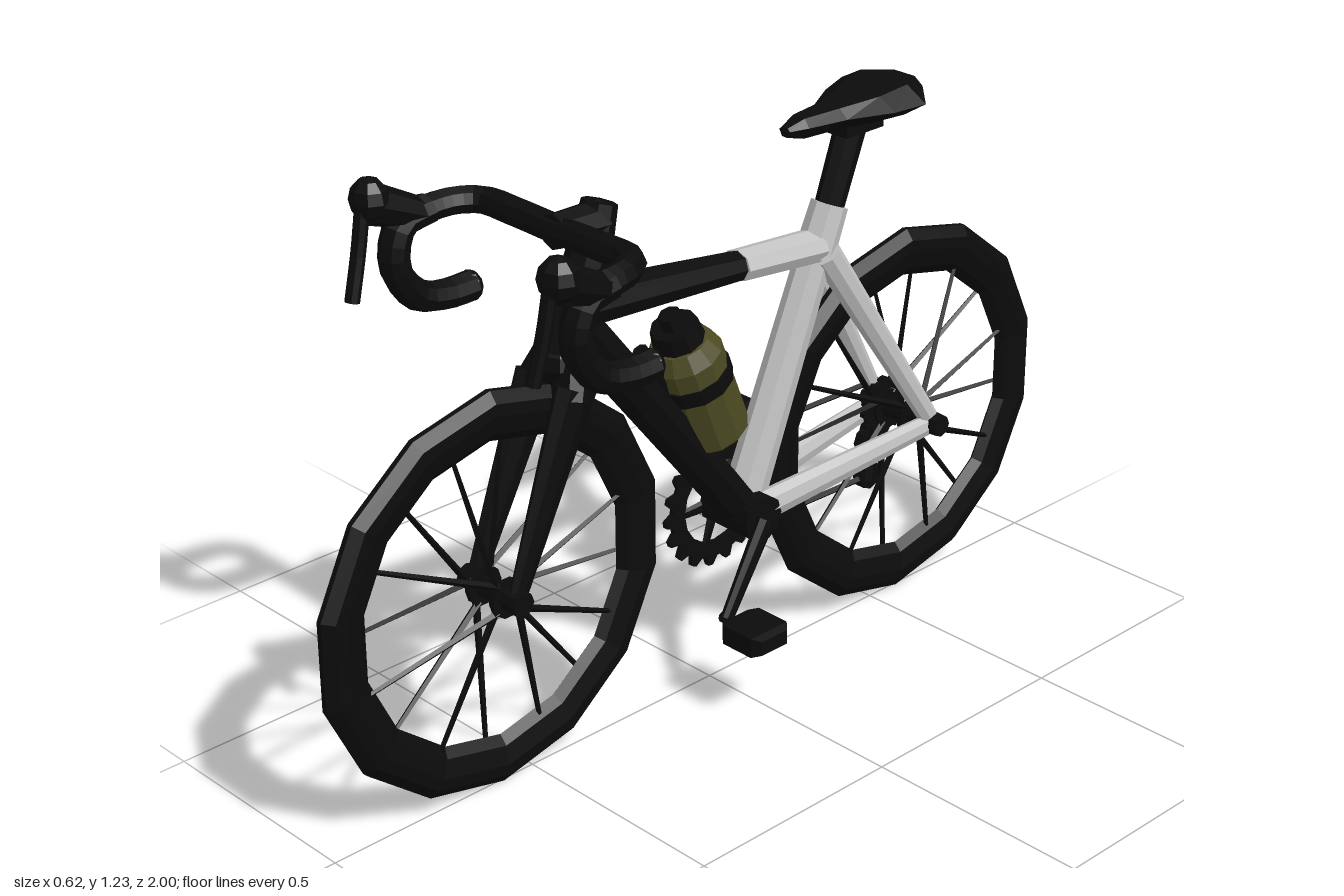
import * as THREE from 'three';

const mat = (name, color) => Object.assign(new THREE.MeshStandardMaterial({ color }), { name });
const V = (x, y, z) => new THREE.Vector3(x, y, z);

export function createModel() {
  const black = mat('black', 0x0b0b0b), silver = mat('silver', 0xc2c2c2), olive = mat('olive', 0x4b4a22);
  const bike = new THREE.Group();
  bike.name = 'roadBicycle';

  // Faceted mesh helper
  const add = (name, geo, material = black, parent = bike) => {
    const g = geo.index ? geo.toNonIndexed() : geo;
    g.computeVertexNormals();
    const m = new THREE.Mesh(g, material);
    m.name = name;
    parent.add(m);
    return m;
  };
  // Tapered bar from a to b; wide scales its x thickness
  const bar = (name, a, b, ra, rb = ra, material = black, wide = 1, sides = 8, parent = bike) => {
    const m = add(name, new THREE.CylinderGeometry(rb, ra, a.distanceTo(b), sides), material, parent);
    m.position.copy(a).lerp(b, 0.5);
    m.quaternion.setFromUnitVectors(V(0, 1, 0), b.clone().sub(a).normalize());
    m.scale.x = wide;
    return m;
  };
  const box = (name, w, h, d, x, y, z, material = black) => {
    const m = add(name, new THREE.BoxGeometry(w, h, d), material);
    m.position.set(x, y, z);
    return m;
  };
  const tube = (name, pts, r, segs = 14) =>
    add(name, new THREE.TubeGeometry(new THREE.CatmullRomCurve3(pts), segs, r, 8));
  const ball = (name, p, r, sx = 1, sy = 1, sz = 1, material = black) => {
    const m = add(name, new THREE.SphereGeometry(r, 8, 6), material);
    m.position.copy(p);
    m.scale.set(sx, sy, sz);
    return m;
  };
  // Stacked rings of points joined into a closed skin
  const loft = (name, rings, material = black) => {
    const n = rings[0].length, pos = rings.flat().flatMap(p => p.toArray()), idx = [];
    for (let i = 0; i < rings.length - 1; i++)
      for (let j = 0; j < n; j++) {
        const a = i * n + j, b = i * n + (j + 1) % n;
        idx.push(a, b, a + n, b, b + n, a + n);
      }
    const last = (rings.length - 1) * n;
    for (let j = 1; j < n - 1; j++) idx.push(0, j + 1, j, last, last + j, last + j + 1);
    const g = new THREE.BufferGeometry();
    g.setAttribute('position', new THREE.Float32BufferAttribute(pos, 3));
    g.setIndex(idx);
    return add(name, g, material);
  };

  // Wheels: pointed tyre with a deep rim, hub and crossed spokes
  const tyre = [[0.325, 0], [0.345, -0.017], [0.385, -0.026], [0.41, -0.024], [0.432, -0.006],
    [0.432, 0.006], [0.41, 0.024], [0.385, 0.026], [0.345, 0.017], [0.325, 0]]
    .map(([r, x]) => new THREE.Vector2(r, x));
  const wheel = (name, z) => {
    const w = new THREE.Group();
    w.name = name;
    w.position.set(0, 0.432, z);
    add('tyre', new THREE.LatheGeometry(tyre, 14, Math.PI / 2), black, w).rotation.z = Math.PI / 2;
    bar('hub', V(-0.06, 0, 0), V(0.06, 0, 0), 0.022, 0.022, black, 1, 10, w);
    for (const s of [-1, 1]) bar('hubFlange', V(s * 0.03, 0, 0), V(s * 0.042, 0, 0), 0.042, 0.042, black, 1, 10, w);
    for (let i = 0; i < 16; i++) {
      const a = (i + 0.25) / 16 * Math.PI * 2, s = i % 2 ? 1 : -1, b = a + (i % 4 < 2 ? 0.5 : -0.5);
      bar('spoke', V(s * 0.036, Math.sin(b) * 0.035, Math.cos(b) * 0.035),
        V(s * 0.006, Math.sin(a) * 0.34, Math.cos(a) * 0.34), 0.008, 0.005, black, 1, 4, w);
    }
    bike.add(w);
  };
  wheel('frontWheel', 0.58);
  wheel('rearWheel', -0.58);

  // Frame: dark front half, silver rear half
  const bb = V(0, 0.37, -0.09), seat = V(0, 0.915, -0.315);
  const headTop = V(0, 1.12, 0.305), headLow = V(0, 0.87, 0.395), joint = V(0, 0.925, -0.075);
  bar('headTube', headLow, headTop, 0.052, 0.04);
  bar('topTubeFront', V(0, 0.97, 0.36), joint, 0.048, 0.032, black, 1.1);
  bar('topTubeRear', joint, V(0, 0.905, -0.3), 0.033, 0.036, silver, 1.25);
  bar('downTube', V(0, 0.92, 0.35), bb, 0.048, 0.046, black, 1.1);
  bar('seatTube', bb, seat, 0.05, 0.042, silver, 0.85);
  bar('seatCollar', V(0, 0.88, -0.3), V(0, 0.985, -0.345), 0.043, 0.04, silver);
  bar('seatPost', V(0, 0.97, -0.34), V(0, 1.17, -0.415), 0.035, 0.038, black, 0.8);
  bar('bottomBracket', V(-0.07, 0.37, -0.09), V(0.07, 0.37, -0.09), 0.052, 0.052, black, 1, 10);

  for (const s of [-1, 1]) {
    // Rear stays and dropouts
    bar('seatStay', V(s * 0.028, 0.89, -0.31), V(s * 0.078, 0.44, -0.59), 0.032, 0.022, silver, 0.8);
    bar('chainStay', V(s * 0.04, 0.38, -0.1), V(s * 0.078, 0.425, -0.59), 0.036, 0.024, silver, 0.8);
    bar('rearAxleNut', V(s * 0.05, 0.428, -0.595), V(s * 0.112, 0.428, -0.595), 0.028, 0.024);
    // Fork
    bar('forkShoulder', V(s * 0.02, 0.88, 0.385), V(s * 0.054, 0.8, 0.425), 0.052, 0.046, black, 0.7);
    bar('forkBlade', V(s * 0.056, 0.83, 0.41), V(s * 0.062, 0.43, 0.58), 0.052, 0.022, black, 0.6);
    bar('frontAxleNut', V(s * 0.04, 0.435, 0.58), V(s * 0.086, 0.435, 0.58), 0.026);
    // Drop handlebar, hood and brake lever
    tube('handlebarTop', [V(0, 1.135, 0.395), V(s * 0.12, 1.14, 0.4), V(s * 0.21, 1.14, 0.405),
      V(s * 0.245, 1.14, 0.45), V(s * 0.258, 1.135, 0.53)], 0.029);
    tube('handlebarDrop', [V(s * 0.257, 1.137, 0.5), V(s * 0.26, 1.12, 0.565), V(s * 0.26, 1.04, 0.585),
      V(s * 0.26, 0.965, 0.535), V(s * 0.26, 0.945, 0.46), V(s * 0.26, 0.945, 0.4)], 0.032);
    ball('dropEnd', V(s * 0.26, 0.945, 0.4), 0.032, 1, 1, 0.6);
    bar('brakeHood', V(s * 0.258, 1.13, 0.52), V(s * 0.268, 1.175, 0.625), 0.032, 0.042);
    ball('hoodTip', V(s * 0.268, 1.185, 0.63), 0.046, 0.95, 1, 0.85);
    tube('brakeLever', [V(s * 0.267, 1.17, 0.65), V(s * 0.265, 1.09, 0.665), V(s * 0.26, 0.995, 0.69)], 0.015, 6);
  }
  ball('forkCrown', V(0, 0.865, 0.395), 0.058, 1, 0.9, 1);

  // Stem
  bar('stem', V(0, 1.13, 0.295), V(0, 1.135, 0.41), 0.04, 0.036);
  bar('stemCap', V(0, 1.1, 0.31), V(0, 1.165, 0.29), 0.042, 0.036);

  // Saddle: sections from tail to nose as [z, half width, top, bottom]
  loft('saddle', [[-0.565, 0.05, 1.215, 1.175], [-0.5, 0.118, 1.222, 1.155], [-0.43, 0.098, 1.21, 1.155],
    [-0.34, 0.05, 1.2, 1.155], [-0.25, 0.03, 1.198, 1.155], [-0.21, 0.015, 1.185, 1.165]]
    .map(([z, w, t, b]) => [[-w * 0.55, t], [-w, (t + b) / 2 + 0.004], [-w * 0.5, b],
      [w * 0.5, b], [w, (t + b) / 2 + 0.004], [w * 0.55, t]].map(([x, y]) => V(x, y, z))));
  box('saddleClamp', 0.06, 0.04, 0.11, 0, 1.15, -0.415);

  // Bottle in its holder, leaning along the down tube
  const bottle = new THREE.Group();
  bottle.name = 'bottle';
  bottle.position.set(0, 0.7, 0.04);
  bottle.rotation.x = 0.38;
  const body = [[0, -0.135], [0.065, -0.135], [0.08, -0.12], [0.08, 0.085], [0.06, 0.12], [0, 0.125]];
  add('bottleBody', new THREE.LatheGeometry(body.map(p => new THREE.Vector2(...p)), 12), olive, bottle);
  add('holderBand', new THREE.CylinderGeometry(0.084, 0.084, 0.035, 12), black, bottle).position.y = 0.025;
  add('bottleCap', new THREE.CylinderGeometry(0.05, 0.055, 0.04, 10), black, bottle).position.y = 0.14;
  add('bottleSpout', new THREE.CylinderGeometry(0.024, 0.028, 0.035, 8), black, bottle).position.y = 0.172;
  bike.add(bottle);
  bar('bottleHolder', V(0, 0.82, 0.19), V(0, 0.58, 0.03), 0.018);

  // Toothed sprockets on the drive side
  const sprocket = (name, r, teeth, hole, x, y, z) => {
    const shape = new THREE.Shape();
    for (let i = 0; i < teeth * 4; i++) {
      const a = i / (teeth * 4) * Math.PI * 2, q = i % 4 < 2 ? r : r * 0.87;
      shape[i ? 'lineTo' : 'moveTo'](Math.cos(a) * q, Math.sin(a) * q);
    }
    shape.holes.push(new THREE.Path().absarc(0, 0, hole, 0, Math.PI * 2, true));
    const m = add(name, new THREE.ExtrudeGeometry(shape, { depth: 0.012, bevelEnabled: false, curveSegments: 8 }));
    m.rotation.y = Math.PI / 2;
    m.position.set(x, y, z);
  };
  sprocket('chainring', 0.148, 18, 0.095, -0.075, 0.365, -0.085);
  for (let i = 0; i < 5; i++) {
    const a = i / 5 * Math.PI * 2;
    bar('chainringArm', V(-0.068, 0.365, -0.085),
      V(-0.068, 0.365 + Math.sin(a) * 0.11, -0.085 + Math.cos(a) * 0.11), 0.018, 0.01, black, 0.5, 6);
  }
  for (let i = 0; i < 3; i++) sprocket('cassetteCog', 0.07 - i * 0.01, 12, 0.02, -0.052 - i * 0.014, 0.432, -0.58);

  // Chain and rear derailleur
  const cx = -0.07;
  bar('chainTop', V(cx, 0.495, -0.12), V(cx, 0.485, -0.57), 0.007, 0.007, black, 1, 4);
  bar('chainBottom', V(cx, 0.265, -0.16), V(cx, 0.255, -0.56), 0.008, 0.008, black, 1, 4);
  bar('derailleurHanger', V(-0.09, 0.41, -0.6), V(-0.088, 0.33, -0.57), 0.02);
  bar('derailleurCage', V(-0.075, 0.34, -0.565), V(-0.075, 0.25, -0.555), 0.02, 0.024);
  for (const y of [0.34, 0.258]) bar('jockeyWheel', V(-0.085, y, -0.56), V(-0.06, y, -0.56), 0.032);

  // Cranks and pedals on opposite sides
  for (const [s, y, z, px] of [[1, 0.19, 0.035, 0.17], [-1, 0.512, -0.19, -0.155]]) {
    bar('crankArm', V(s * 0.075, 0.37, -0.09), V(s * 0.088, y, z), 0.026, 0.018, black, 0.7);
    bar('pedalAxle', V(s * 0.075, y, z), V(px, y, z), 0.012);
    const w = 0.058;
    loft('pedal', [-1, -0.7, 0.7, 1].map((t, i) => {
      const d = i % 3 ? 0.052 : 0.036, h = i % 3 ? 0.022 : 0.016;
      return [[-d, -h], [-d, h], [d, h], [d, -h]].map(([dz, dy]) => V(px + t * w, y + dy, z + dz));
    }));
  }
  return bike;
}
